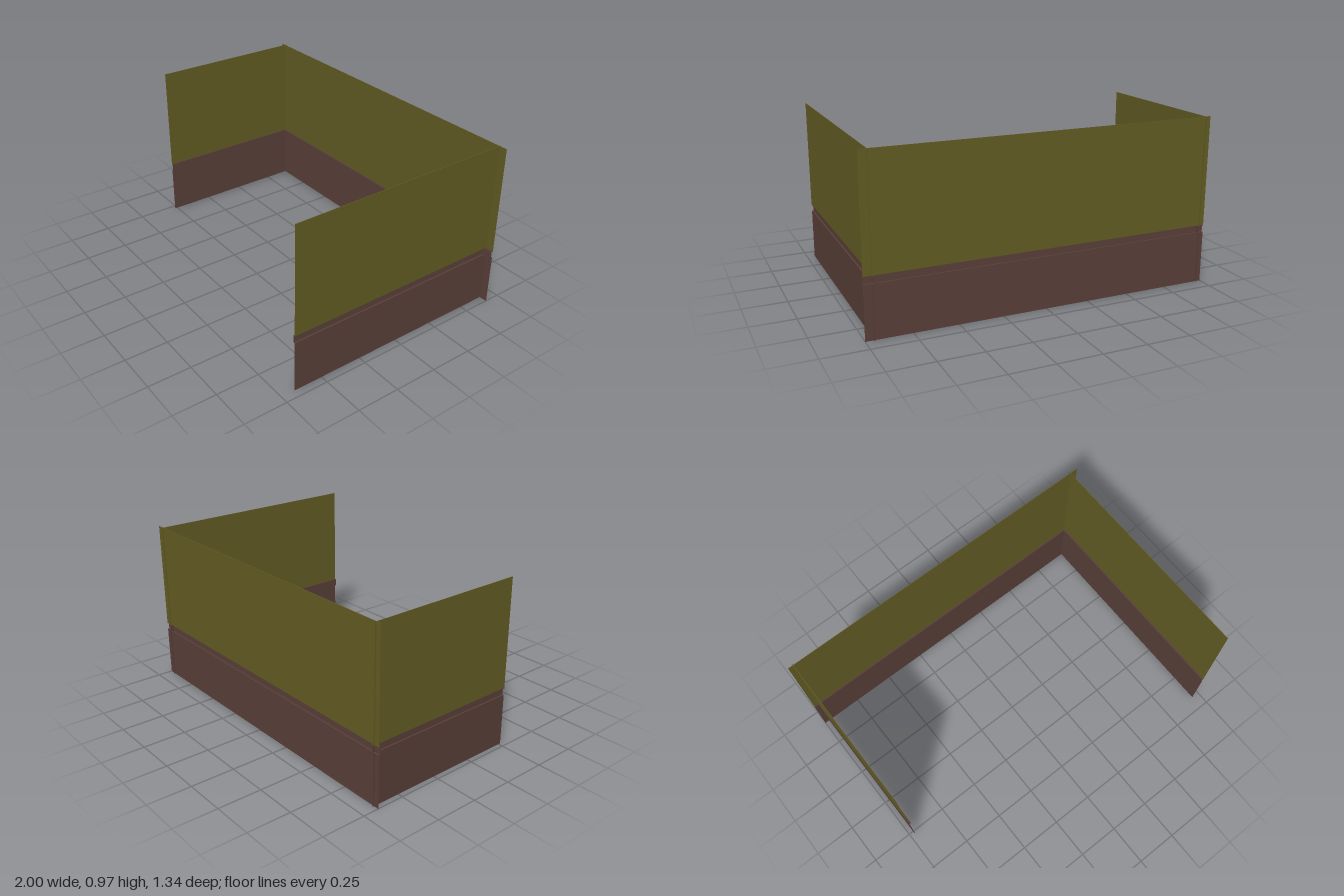
import * as THREE from 'three';

const TOP = 0.97, RAIL_TOP = 0.34, RAIL_BOTTOM = 0.295;
const SHEET = 0.003, STEP = 0.012; // sheet thickness, inward depth of the rail

export function createModel() {
  const olive = new THREE.MeshStandardMaterial({ color: 0x645d24 });
  olive.name = 'olive';
  const brown = new THREE.MeshStandardMaterial({ color: 0x5a4039 });
  brown.name = 'brown';

  const model = new THREE.Group();
  model.name = 'walls';

  // One wall: local z = 0 is the outer face, +z points into the room
  function wall(name, length, x, z, turn) {
    const group = new THREE.Group();
    group.name = name;
    const plate = (part, material, y0, y1, z0, z1) => {
      const mesh = new THREE.Mesh(new THREE.BoxGeometry(length, y1 - y0, z1 - z0), material);
      mesh.name = part;
      mesh.position.set(0, (y0 + y1) / 2, (z0 + z1) / 2);
      group.add(mesh);
    };
    plate('upperPanel', olive, RAIL_TOP, TOP, 0, SHEET);
    plate('lowerPanel', brown, 0, RAIL_BOTTOM, 0, SHEET);
    // Rail folded inward, leaving a groove on the outside
    plate('rail', brown, RAIL_BOTTOM, RAIL_TOP, STEP - SHEET, STEP);
    plate('railTopLedge', brown, RAIL_TOP - SHEET, RAIL_TOP, 0, STEP - SHEET);
    plate('railBottomLedge', brown, RAIL_BOTTOM, RAIL_BOTTOM + SHEET, 0, STEP - SHEET);
    group.position.set(x, 0, z);
    group.rotation.y = turn;
    model.add(group);
  }

  wall('backWall', 2, 0, -0.66, 0);
  wall('leftWall', 1.336, 0.954, 0, -Math.PI / 2);
  wall('rightWall', 0.933, -0.971, -0.2015, Math.PI / 2);

  return model;
}
